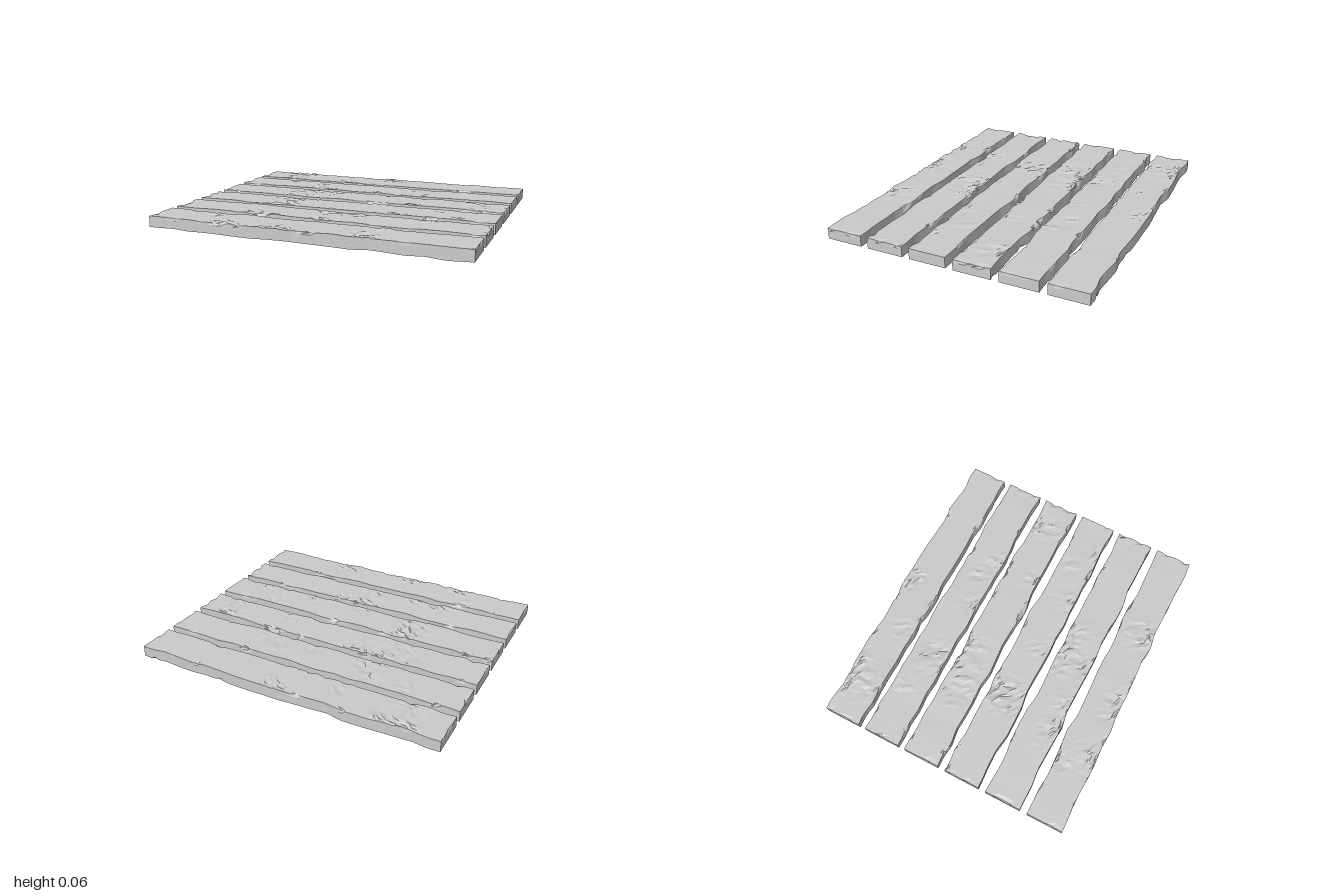
import * as THREE from 'three';

const COUNT = 6, PITCH = 0.228, WIDTH = 0.19, LENGTH = 1.59;
const BOTTOM = 0.008, TOP = 0.063, THICK = TOP - BOTTOM;

// Small seeded random generator
function seeded(seed) {
  let s = seed;
  return () => {
    s = (s * 16807) % 2147483647;
    return s / 2147483647;
  };
}

// Repeatable value in -1..1 for a grid point
function hash(a, b, c) {
  const v = Math.sin(a * 127.1 + b * 311.7 + c * 74.7) * 43758.5453;
  return (v - Math.floor(v)) * 2 - 1;
}

// Smooth wobble along a plank edge
function wobble(z, seed) {
  const k = z * 12 + 40, i = Math.floor(k), f = k - i;
  return THREE.MathUtils.lerp(hash(i, seed, 1), hash(i + 1, seed, 1), f);
}

// One worn board: a finely divided box with wavy sides, bumps and chipped edges
function plankGeometry(index) {
  const rand = seeded(1013 + index * 7919);
  for (let i = 0; i < 5; i++) rand();

  // Chips bitten out of the long edges; most are on the upper edge
  const chips = Array.from({ length: 22 }, () => ({
    side: rand() < 0.5 ? -1 : 1,
    up: rand() < 0.8 ? 1 : -1,
    z: (rand() - 0.5) * LENGTH * 0.98,
    depth: 0.006 + 0.02 * rand() * rand(),
    slope: 0.25 + 0.5 * rand(),
    tilt: 0.5 + 0.6 * rand(),
  }));
  // Shallow chips on the upper edge of both ends
  const endChips = Array.from({ length: 6 }, () => ({
    end: rand() < 0.5 ? -1 : 1,
    x: (rand() - 0.5) * WIDTH * 0.8,
    depth: 0.006 + 0.01 * rand(),
    slope: 0.4 + 0.4 * rand(),
  }));
  // Rough patches on the broad face
  const patches = Array.from({ length: 6 }, () => ({
    x: (rand() - 0.5) * WIDTH,
    z: (rand() - 0.5) * LENGTH * 0.8,
    r: 0.04 + 0.05 * rand(),
  }));

  const geo = new THREE.BoxGeometry(2, 2, 2, 10, 4, 72);
  const pos = geo.attributes.position;
  for (let i = 0; i < pos.count; i++) {
    const u = pos.getX(i), v = pos.getY(i), w = pos.getZ(i);
    const n = (k) => hash(Math.round(u * 50), Math.round(v * 50) + k * 13.3, Math.round(w * 360) + index * 5.7);
    const atEnd = Math.abs(w) > 0.999;
    const fade = Math.min(1, (1 - Math.abs(w)) * 8);

    // Columns gather towards the edges, rows are jittered
    let x = Math.sign(u) * Math.pow(Math.abs(u), 0.65) * WIDTH / 2;
    let y = v * THICK / 2;
    let z = w * LENGTH / 2 + (atEnd ? 0 : n(1) * 0.007);
    if (Math.abs(u) < 0.9) x += n(2) * 0.005;

    // Wavy sides
    const side = Math.sign(u);
    x += side * Math.pow(Math.abs(u), 3) * fade * (wobble(z, index * 2 + side + 3) * 0.008 - 0.001);

    // Bumps on the top, faint swelling underneath
    let rough = 0;
    for (const p of patches) rough += Math.exp(-((x - p.x) ** 2 + (z - p.z) ** 2) / (p.r * p.r));
    rough = Math.min(1, rough);
    if (v > 0.9) y += fade * (0.0015 * wobble(z, index + 50) + rough * n(3) * 0.0045);
    if (v < -0.9) y -= fade * (0.0015 + 0.003 * wobble(z, index + 70));

    // Push corners back to each chip's slanted plane
    for (const c of chips) {
      const room = -c.depth + c.slope * Math.abs(z - c.z);
      const over = (x * c.side - WIDTH / 2) + (y * c.up - THICK / 2) * c.tilt - room;
      if (over > 0 && room < 0.003) {
        const k = over / (1 + c.tilt * c.tilt);
        x -= c.side * k;
        y -= c.up * k * c.tilt;
      }
    }
    for (const c of endChips) {
      const room = -c.depth + c.slope * Math.abs(x - c.x);
      const over = (z * c.end - LENGTH / 2) + (y - THICK / 2) - room;
      if (over > 0 && room < 0) {
        z -= c.end * over * 0.5;
        y -= over * 0.5;
      }
    }
    pos.setXYZ(i, x, y, z);
  }
  geo.computeVertexNormals();
  return geo;
}

export function createModel() {
  const model = new THREE.Group();
  model.name = 'plankFloor';
  const material = new THREE.MeshStandardMaterial({ color: 0xcccccc, flatShading: true });

  // Row of boards side by side with narrow gaps
  for (let i = 0; i < COUNT; i++) {
    const plank = new THREE.Mesh(plankGeometry(i), material);
    plank.name = `plank${i + 1}`;
    plank.position.set((i - (COUNT - 1) / 2) * PITCH, (TOP + BOTTOM) / 2, 0);
    model.add(plank);
  }

  // The whole row is turned about the upright axis
  model.rotation.y = THREE.MathUtils.degToRad(24.5);
  return model;
}
